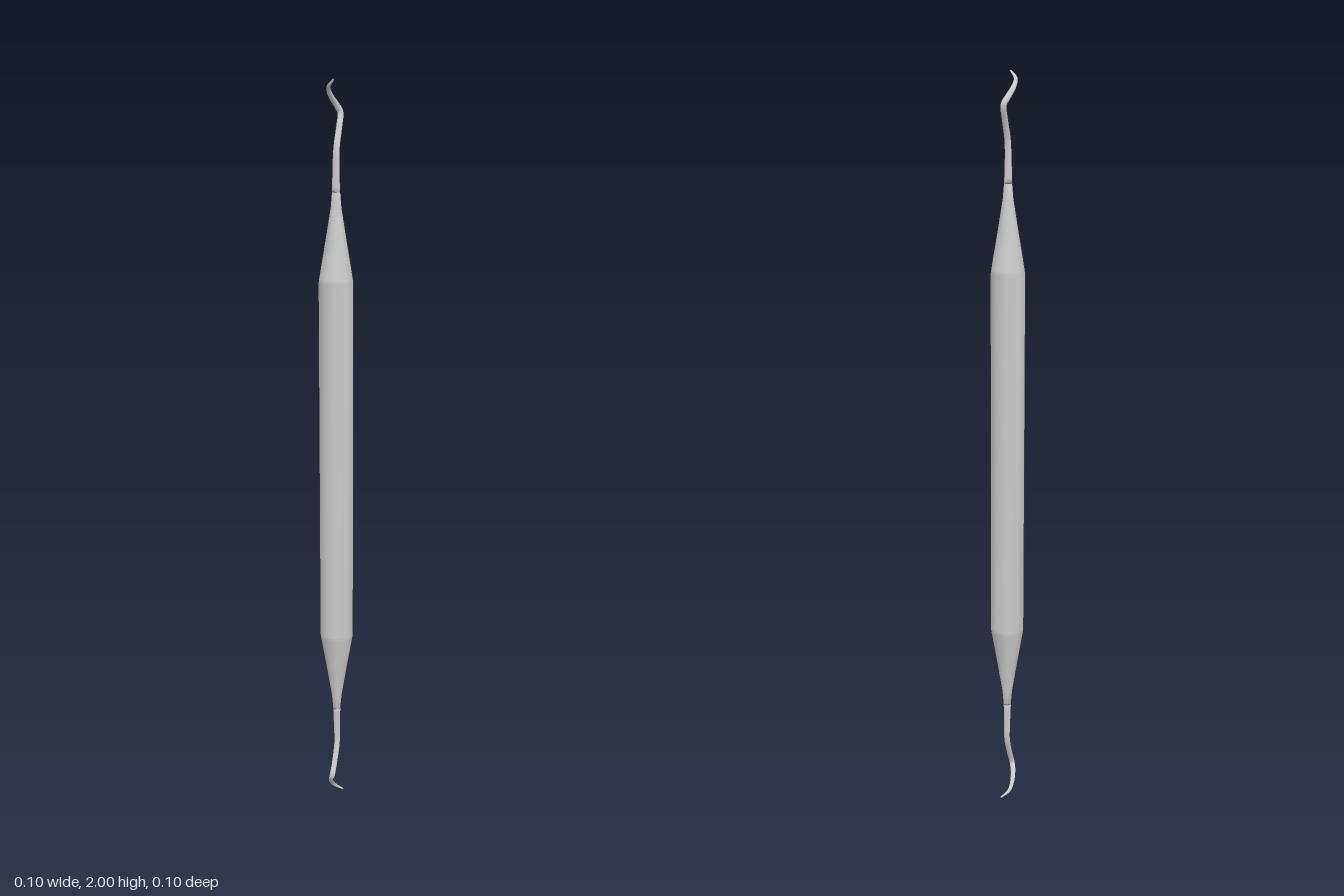
import * as THREE from 'three';

const SIDES = 10;

// Skin a row of [centre, radius] stations, lowest first, with rings square to the path.
function sweep(stations) {
  const pos = [], index = [];
  const n = stations.length;
  stations.forEach(([p, r], i) => {
    const a = stations[Math.max(i - 1, 0)][0];
    const b = stations[Math.min(i + 1, n - 1)][0];
    const t = b.clone().sub(a).normalize();
    const u = new THREE.Vector3(1, 0, 0).addScaledVector(t, -t.x).normalize();
    const v = new THREE.Vector3().crossVectors(t, u);
    for (let s = 0; s < SIDES; s++) {
      const ang = (s / SIDES) * Math.PI * 2;
      const q = p.clone().addScaledVector(u, r * Math.cos(ang)).addScaledVector(v, r * Math.sin(ang));
      pos.push(q.x, q.y, q.z);
    }
  });
  for (let i = 0; i < n - 1; i++) {
    for (let s = 0; s < SIDES; s++) {
      const a = i * SIDES + s, b = i * SIDES + (s + 1) % SIDES;
      index.push(a, b, b + SIDES, a, b + SIDES, a + SIDES);
    }
  }
  // end caps
  const last = (n - 1) * SIDES;
  for (let s = 1; s < SIDES - 1; s++) {
    index.push(0, s + 1, s, last, last + s, last + s + 1);
  }
  const g = new THREE.BufferGeometry();
  g.setAttribute('position', new THREE.Float32BufferAttribute(pos, 3));
  g.setIndex(index);
  g.computeVertexNormals();
  return g;
}

// Turn stations half round about the x axis through mid height, for the other end.
const flip = (stations) => stations
  .map(([p, r]) => [new THREE.Vector3(p.x, 2 - p.y, -p.z), r])
  .reverse();

export function createModel() {
  const group = new THREE.Group();
  const material = new THREE.MeshStandardMaterial({ color: 0xcccccc });
  const add = (name, stations) => {
    const mesh = new THREE.Mesh(sweep(stations), material);
    mesh.name = name;
    group.add(mesh);
  };

  // Thick grip with tapered ends: y, z, radius
  const grip = [
    [1.49, 0.003, 0.048], [1.50, 0.003, 0.0465], [1.60, 0.003, 0.029],
    [1.68, 0.003, 0.0155], [1.72, 0.003, 0.012],
  ].map(([y, z, r]) => [new THREE.Vector3(-0.001, y, z), r]);
  add('handle', [...flip(grip), ...grip]);

  // Bent neck and curved, pointed hook: x, y, z, radius
  const keys = [
    [-0.001, 1.72, 0.003, 0.012],
    [-0.001, 1.77, 0.004, 0.0105],
    [0, 1.83, 0.002, 0.0095],
    [0, 1.88, -0.018, 0.009],
    [-0.002, 1.915, -0.032, 0.009],
    [-0.009, 1.933, -0.022, 0.0085],
    [-0.016, 1.957, 0.002, 0.0075],
    [-0.014, 1.978, 0.023, 0.006],
    [0.006, 1.997, 0.04, 0.003],
  ];
  const curve = new THREE.CatmullRomCurve3(keys.map(([x, y, z]) => new THREE.Vector3(x, y, z)));
  const spans = keys.length - 1, steps = spans * 4;
  const hook = [];
  for (let i = 0; i <= steps; i++) {
    const f = (i / steps) * spans;
    const k = Math.min(Math.floor(f), spans - 1);
    hook.push([curve.getPoint(i / steps), THREE.MathUtils.lerp(keys[k][3], keys[k + 1][3], f - k)]);
  }
  add('upperHook', hook);
  add('lowerHook', flip(hook));

  return group;
}
